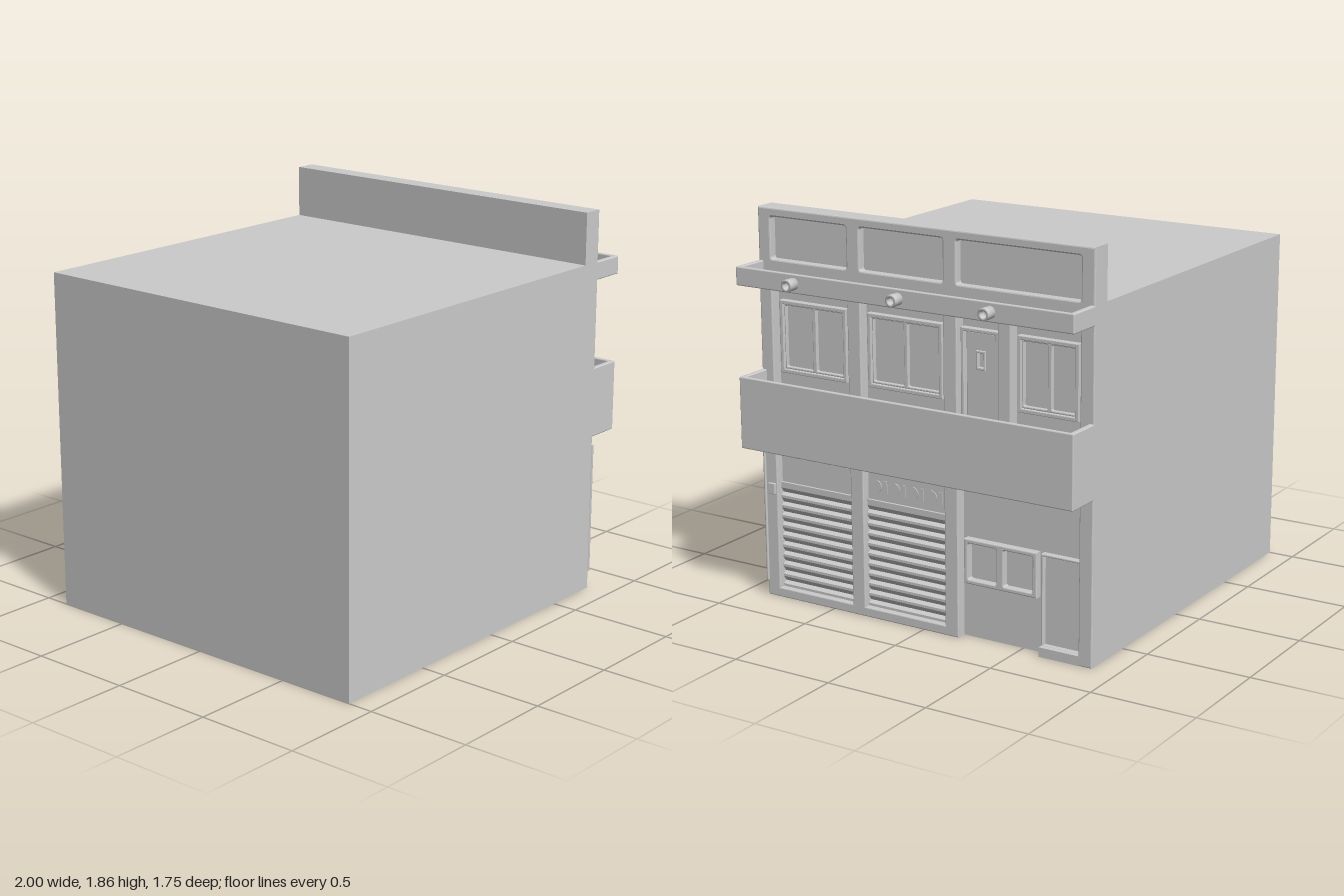
import * as THREE from 'three';
import { RoundedBoxGeometry } from 'three/addons/geometries/RoundedBoxGeometry.js';

const FRONT = 0.778, BACK = 0.726, LEDGE = 0.948, HALF = 0.877;

export function createModel() {
  const root = new THREE.Group();
  root.name = 'shopBuilding';
  const mat = new THREE.MeshStandardMaterial({ color: 0xcccccc, side: THREE.DoubleSide });

  function add(name, geometry, parent = root) {
    const mesh = new THREE.Mesh(geometry, mat);
    mesh.name = name;
    parent.add(mesh);
    return mesh;
  }

  // Box given by its limits; a radius rounds the edges
  function box(name, x0, x1, y0, y1, z0, z1, radius = 0, parent = root) {
    const size = [x1 - x0, y1 - y0, Math.abs(z1 - z0)];
    const g = radius ? new RoundedBoxGeometry(...size, 2, radius) : new THREE.BoxGeometry(...size);
    g.translate((x0 + x1) / 2, (y0 + y1) / 2, (z0 + z1) / 2);
    return add(name, g, parent);
  }

  // Rectangle path on the facade; rect = [zLeft, zRight, yLow, yHigh], r rounds its corners
  function trace(path, [za, zb, y0, y1], r = 0) {
    const a = -za, b = -zb;
    path.moveTo(a + r, y0).lineTo(b - r, y0);
    if (r) path.quadraticCurveTo(b, y0, b, y0 + r);
    path.lineTo(b, y1 - r);
    if (r) path.quadraticCurveTo(b, y1, b - r, y1);
    path.lineTo(a + r, y1);
    if (r) path.quadraticCurveTo(a, y1, a, y1 - r);
    path.lineTo(a, y0 + r);
    if (r) path.quadraticCurveTo(a, y0, a + r, y0);
    return path;
  }

  // Panel with openings, from x0 to x1, its edges softened by a bevel
  function panel(name, x0, x1, rect, holes, { r = 0, bevel = 0.003, parent = root } = {}) {
    const shape = trace(new THREE.Shape(), rect);
    for (const h of holes) shape.holes.push(trace(new THREE.Path(), h, r));
    const g = new THREE.ExtrudeGeometry(shape, {
      depth: x1 - x0 - 2 * bevel, curveSegments: 4,
      bevelThickness: bevel, bevelSize: bevel, bevelOffset: -bevel, bevelSegments: 2,
    });
    g.rotateY(Math.PI / 2).translate(x0 + bevel, 0, 0);
    return add(name, g, parent);
  }

  // Main block, a shell open underneath
  const block = box('mainBlock', -1, BACK, 0, 1.61, -HALF, HALF).geometry;
  block.setIndex([...block.index.array].filter((_, i) => i < 18 || i >= 24));
  block.clearGroups();

  // Pillared front layer
  const wall = { bevel: 0.005 };
  panel('shutterPillars', BACK - 0.02, FRONT, [HALF, -0.19, 0, 0.8],
    [[0.81, 0.39, 0.045, 0.785], [0.32, -0.12, 0.045, 0.785]], wall);
  panel('endPillar', BACK - 0.02, FRONT, [-0.81, -HALF, 0, 0.8], [], wall);
  panel('upperPillars', BACK - 0.02, FRONT, [HALF, -HALF, 0.78, 1.61], [
    [0.81, 0.39, 0.81, 1.525], [0.32, -0.12, 0.81, 1.525],
    [-0.19, -0.4, 0.81, 1.525], [-0.465, -0.81, 0.81, 1.525],
  ], wall);

  // Parapet with three sunken panels
  box('parapetBack', 0.675, 0.74, 1.6, 1.856, -HALF, HALF);
  panel('parapetFront', 0.72, FRONT, [HALF, -HALF, 1.59, 1.856], [
    [0.81, 0.39, 1.62, 1.815], [0.32, -0.12, 1.62, 1.815], [-0.19, -0.81, 1.62, 1.815],
  ], { r: 0.012, bevel: 0.007 });

  // Open troughs across the front: balcony and canopy
  function trough(name, y0, floor, y1) {
    const g = new THREE.Group();
    g.name = name;
    root.add(g);
    box('floor', FRONT - 0.01, LEDGE - 0.006, y0, floor, -HALF + 0.006, HALF - 0.006, 0, g);
    box('frontRail', LEDGE - 0.02, LEDGE, y0, y1, -HALF, HALF, 0.006, g);
    for (const s of [-1, 1]) box('endRail', FRONT - 0.012, LEDGE, y0, y1, s * HALF, s * (HALF - 0.025), 0.006, g);
  }
  trough('balcony', 0.762, 0.805, 1.1);
  trough('canopy', 1.523, 1.565, 1.61);

  // Lamps: hollow tubes on the canopy edge
  const lampProfile = [[0, 0], [0.028, 0], [0.028, 0.055], [0.016, 0.055], [0.016, 0.03], [0, 0.03]]
    .map(([r, h]) => new THREE.Vector2(r, h));
  for (const z of [0.555, -0.002, -0.47]) {
    const g = new THREE.LatheGeometry(lampProfile, 20);
    g.rotateZ(-Math.PI / 2).translate(0.945, 1.567, z);
    add('canopyLamp', g);
  }

  // Upper windows: raised frame, two sashes with sunken panes
  const sill = 1.09;
  function upperWindow(za, zb, panes) {
    const g = new THREE.Group();
    g.name = 'upperWindow';
    root.add(g);
    const inner = [za - 0.018, zb + 0.018, sill + 0.018, 1.412];
    const holes = panes.map(([a, b]) => [a, b, 1.118, 1.405]);
    panel('frame', BACK - 0.01, BACK + 0.03, [za, zb, sill, 1.43], [inner], { parent: g });
    panel('sash', BACK - 0.01, BACK + 0.018, inner, holes, { r: 0.006, parent: g });
  }
  upperWindow(0.785, 0.415, [[0.76, 0.61], [0.59, 0.44]]);
  upperWindow(0.298, -0.1, [[0.273, 0.11], [0.09, -0.075]]);
  upperWindow(-0.485, -0.79, [[-0.51, -0.63], [-0.65, -0.765]]);

  // Balcony door with a small peep window
  panel('balconyDoorFrame', BACK - 0.01, BACK + 0.03, [-0.197, -0.392, 0.8, 1.43], [[-0.213, -0.376, 0.815, 1.414]]);
  panel('balconyDoor', BACK - 0.01, BACK + 0.012, [-0.216, -0.373, 0.815, 1.411], [[-0.275, -0.312, 1.255, 1.325]]);
  panel('peepFrame', BACK, BACK + 0.022, [-0.27, -0.317, 1.247, 1.333], [[-0.28, -0.307, 1.258, 1.322]]);

  // Roller shutters: saw-tooth slats extruded across each bay
  function shutter(za, zb) {
    const pitch = 0.0485, n = 10, y0 = 0.045, inside = BACK - 0.01, outside = BACK + 0.022;
    const pts = [[inside, y0], [outside, y0]];
    for (let i = 0; i < n; i++) {
      const y = y0 + i * pitch;
      pts.push([outside, y + pitch * 0.25], [BACK + 0.004, y + pitch * 0.5], [outside, y + pitch]);
    }
    pts.push([outside, 0.558], [inside, 0.558]);
    const shape = new THREE.Shape(pts.map(([x, y]) => new THREE.Vector2(x, y)));
    const g = new THREE.ExtrudeGeometry(shape, { depth: za - zb, bevelEnabled: false });
    add('rollerShutter', g.translate(0, 0, zb));
    box('shutterHeader', inside, BACK + 0.01, 0.558, 0.785, za, zb);
  }
  shutter(0.81, 0.39);
  shutter(0.32, -0.12);

  // Shallow ornament of half discs and bars above the shutters
  function ornament(zStart, zEnd, y, h) {
    const n = 8, step = (zStart - zEnd) / n;
    for (let i = 0; i < n; i++) {
      const z = zStart - (i + 0.5) * step;
      if (i % 2) {
        box('ornamentBar', BACK + 0.005, BACK + 0.014, y - h / 2, y + h / 2, z - 0.009, z + 0.009);
      } else {
        const g = new THREE.CylinderGeometry(h / 2, h / 2, 0.009, 12, 1, false, 0, Math.PI);
        g.rotateZ(Math.PI / 2).rotateX(-Math.PI / 2).translate(BACK + 0.0095, y, z);
        add('ornamentHalfDisc', g);
      }
    }
  }
  ornament(0.75, 0.43, 0.705, 0.055);
  ornament(0.3, -0.1, 0.705, 0.04);
  ornament(0.3, -0.1, 0.625, 0.058);

  // Shop window, entrance door and its step
  panel('shopWindow', BACK - 0.01, BACK + 0.035, [-0.21, -0.587, 0.26, 0.47],
    [[-0.23, -0.38, 0.28, 0.45], [-0.415, -0.566, 0.28, 0.45]], { r: 0.01, bevel: 0.005 });
  panel('entranceFrame', BACK - 0.01, BACK + 0.03, [-0.607, -0.815, 0.04, 0.47], [[-0.617, -0.805, 0.047, 0.46]]);
  box('entranceDoor', BACK - 0.01, BACK + 0.006, 0.045, 0.46, -0.615, -0.807);
  box('doorStep', BACK - 0.01, FRONT, 0, 0.045, -0.61, -0.815);

  // Conduit and meter box on the end pillar
  const pipe = new THREE.CylinderGeometry(0.007, 0.007, 0.635, 10);
  add('conduit', pipe.translate(0.794, 0.398, 0.866));
  box('meterBox', FRONT - 0.005, 0.79, 0.505, 0.557, 0.818, 0.855, 0.003);

  return root;
}
